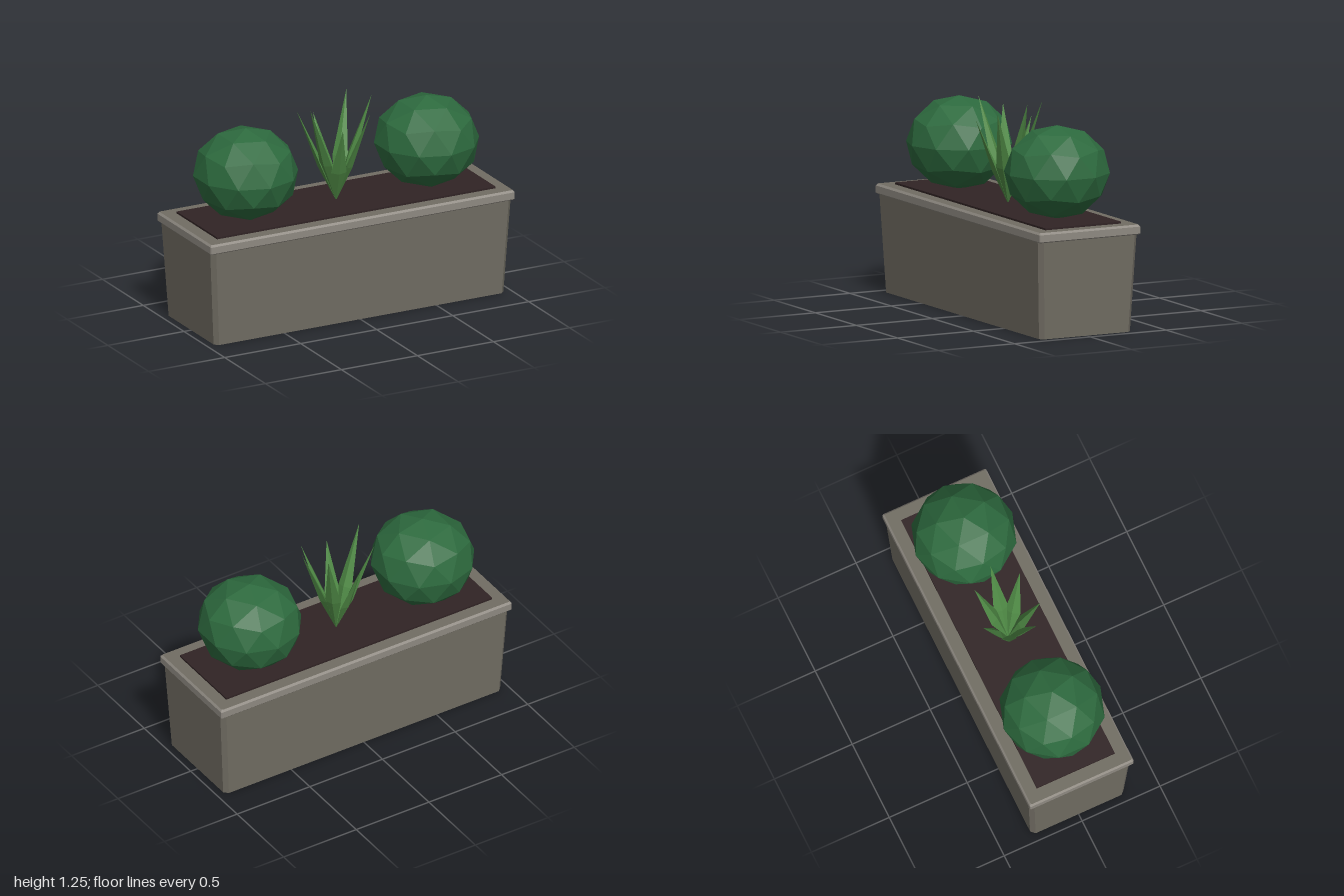
import * as THREE from 'three';

const material = (name, color) => {
  const m = new THREE.MeshStandardMaterial({ color, flatShading: true });
  m.name = name;
  return m;
};

// Octagonal outline: rectangle with cut corners, counterclockwise from above
function outline(w, d, c, y) {
  return [
    [w, d - c], [w, c - d], [w - c, -d], [c - w, -d],
    [-w, c - d], [-w, d - c], [c - w, d], [w - c, d],
  ].map(([x, z]) => [x, y, z]);
}

// Skin between stacked outlines, closed with optional caps
function loft(rings, capBottom = true, capTop = true) {
  const pos = [];
  const tri = (a, b, c) => pos.push(...a, ...b, ...c);
  const n = rings[0].length;
  for (let r = 0; r < rings.length - 1; r++) {
    for (let i = 0; i < n; i++) {
      const j = (i + 1) % n, lo = rings[r], hi = rings[r + 1];
      tri(lo[i], lo[j], hi[j]);
      tri(lo[i], hi[j], hi[i]);
    }
  }
  const bottom = rings[0], top = rings[rings.length - 1];
  for (let i = 1; i < n - 1; i++) {
    if (capBottom) tri(bottom[0], bottom[i + 1], bottom[i]);
    if (capTop) tri(top[0], top[i], top[i + 1]);
  }
  const g = new THREE.BufferGeometry();
  g.setAttribute('position', new THREE.Float32BufferAttribute(pos, 3));
  g.computeVertexNormals();
  return g;
}

export function createModel() {
  const stone = material('stone', 0x716d63);
  const rimStone = material('rim stone', 0x8e8981);
  const soilMat = material('soil', 0x302324);
  const bushMat = material('bush green', 0x2d6a3e);
  const leafMat = material('leaf green', 0x4f8a45);

  const model = new THREE.Group();
  model.name = 'planter';
  const add = (name, geometry, mat, parent = model) => {
    const mesh = new THREE.Mesh(geometry, mat);
    mesh.name = name;
    parent.add(mesh);
    return mesh;
  };

  // Tapered trough with cut corners
  add('trough', loft([
    outline(0.953, 0.3, 0.024, 0),
    outline(0.988, 0.326, 0.026, 0.578),
  ]), stone);

  // Overhanging rim with bevelled edges
  add('rim', loft([
    outline(0.994, 0.327, 0.006, 0.575),
    outline(1, 0.333, 0.006, 0.581),
    outline(1, 0.333, 0.006, 0.622),
    outline(0.99, 0.323, 0.006, 0.634),
  ], true, false), rimStone);
  add('rimTop', loft([
    outline(0.99, 0.323, 0.006, 0.63),
    outline(0.99, 0.323, 0.006, 0.634),
  ]), stone);

  // Soil slab
  const soil = add('soil', new THREE.BoxGeometry(1.83, 0.03, 0.5), soilMat);
  soil.position.y = 0.63;

  // Clipped round bushes, one corner of the icosahedron pointing up
  const ball = new THREE.IcosahedronGeometry(1, 1);
  ball.rotateZ(-Math.atan(2 / (1 + Math.sqrt(5))));
  ball.scale(0.31, 0.275, 0.31);
  for (const side of [-1, 1]) {
    const bush = add(side < 0 ? 'rightBush' : 'leftBush', ball, bushMat);
    bush.position.set(side * 0.595, 0.91, 0);
  }

  // Spiky plant: seven four-sided leaves spreading from one point
  const plant = new THREE.Group();
  plant.name = 'spikyPlant';
  plant.position.y = 0.637;
  model.add(plant);
  const profile = [[0, 0], [0.047, 0.4], [0, 1]].map(([x, y]) => new THREE.Vector2(x, y));
  const leafShape = new THREE.LatheGeometry(profile, 4);
  leafShape.scale(1, 1, 0.4);
  for (let i = 0; i < 7; i++) {
    const angle = (i / 7) * Math.PI * 2;
    const tip = new THREE.Vector3(
      0.235 * Math.cos(angle), 0.615 - 0.06 * (i % 3), 0.188 * Math.sin(angle));
    const up = tip.clone().normalize();
    const across = new THREE.Vector3(-tip.z, 0, tip.x).normalize();
    const out = across.clone().cross(up);
    const leaf = add('leaf', leafShape, leafMat, plant);
    leaf.quaternion.setFromRotationMatrix(new THREE.Matrix4().makeBasis(across, up, out));
    leaf.scale.y = tip.length();
  }

  return model;
}
